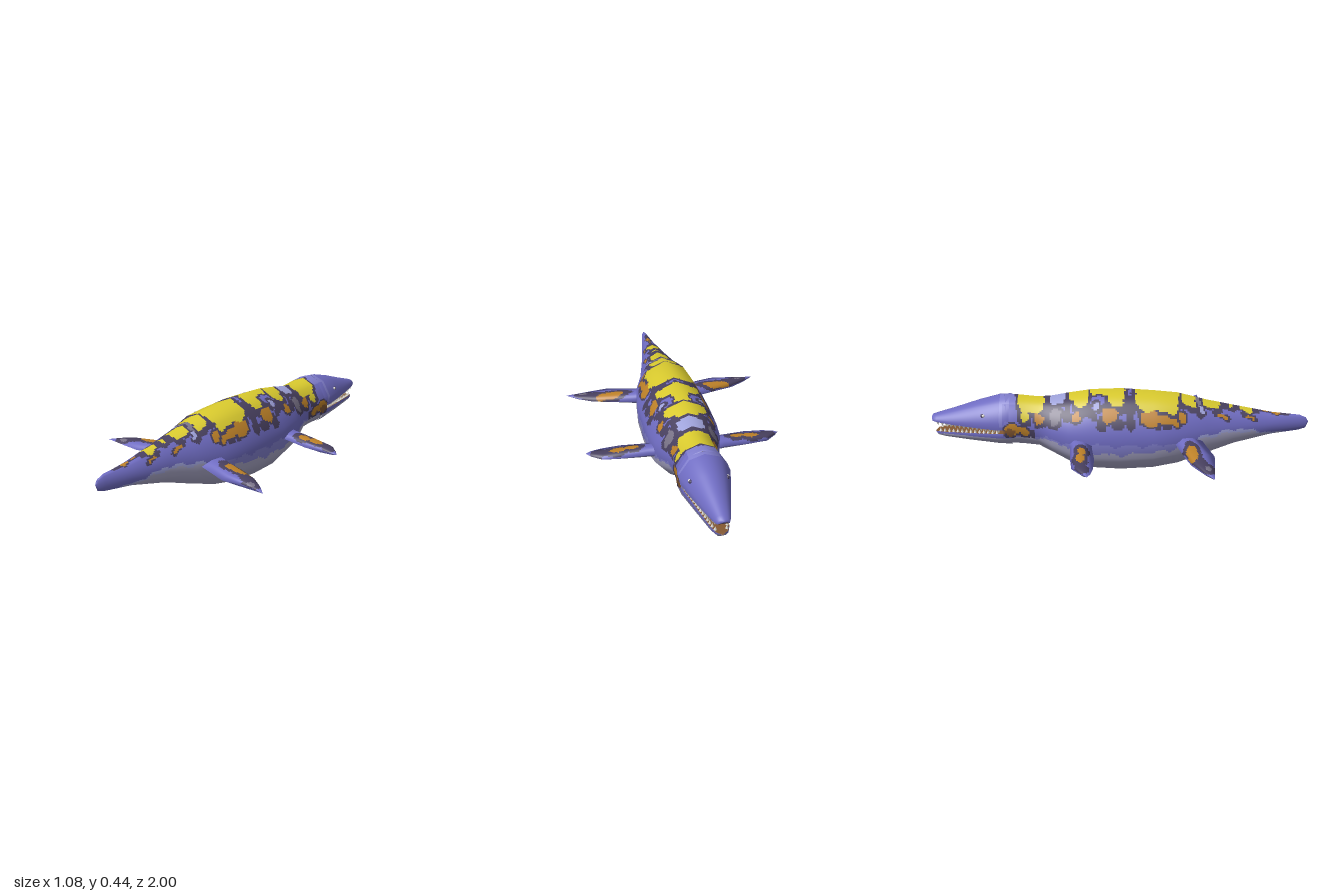
import * as THREE from 'three';

const COLORS = {
  skinBlue: 0x6f6cc2, stripeDark: 0x48405f, saddleYellow: 0xd9ca2e, patchOrange: 0xbd8128, bellyGrey: 0xa6a4c4,
  paleLavender: 0x9ea2da, fringeBlue: 0x807ecc, patchGrey: 0x787286, mouthBrown: 0x835832, toothWhite: 0xf2efe6,
};
const NAMES = Object.keys(COLORS);
const V = (x, y, z) => new THREE.Vector3(x, y, z);

// linear lookup in rows sorted by falling first entry
function lookup(rows, z, col) {
  if (z >= rows[0][0]) return rows[0][col];
  for (let i = 1; i < rows.length; i++) {
    const a = rows[i - 1], b = rows[i];
    if (z >= b[0]) return a[col] + (b[col] - a[col]) * (a[0] - z) / (a[0] - b[0]);
  }
  return rows[rows.length - 1][col];
}

// closed section from its +x half, starting and ending on the centre line
const mirrorHalf = (half) => half.concat(half.slice(1, -1).reverse().map(([x, y]) => [-x, y]));

// stations are [z, halfWidth, top, bottom]
const sections = (stations, half) => stations.map(([z, w, top, bot]) =>
  mirrorHalf(half).map(([x, t]) => V(x * w, bot + t * (top - bot), z)));

// skin over rings, split into small cells that each take one flat colour from the rule
function paintedLoft(name, rings, mats, rule, cell = 0.01) {
  const n = rings[0].length, index = [];
  for (let i = 0; i + 1 < rings.length; i++) for (let j = 0; j < n; j++) {
    const a = i * n + j, b = i * n + (j + 1) % n;
    index.push(a, b, a + n, b, b + n, a + n);
  }
  const pts = rings.flat(), buckets = {};
  const base = new THREE.BufferGeometry().setFromPoints(pts);
  base.setIndex(index);
  base.computeVertexNormals();
  const nor = pts.map((_, k) => new THREE.Vector3().fromBufferAttribute(base.attributes.normal, k));
  const mix = (list, q, u, v) => list[q[0]].clone().lerp(list[q[1]], u)
    .lerp(list[q[2]].clone().lerp(list[q[3]], u), v);
  for (let i = 0; i + 1 < rings.length; i++) for (let j = 0; j < n; j++) {
    const a = i * n + j, b = i * n + (j + 1) % n, q = [a, b, a + n, b + n];
    const wide = Math.max(pts[a].distanceTo(pts[b]), pts[a + n].distanceTo(pts[b + n]));
    if (wide < 1e-6) continue;
    const nu = Math.ceil(wide / cell);
    const nv = Math.ceil(Math.max(pts[a].distanceTo(pts[a + n]), pts[b].distanceTo(pts[b + n])) / cell);
    for (let r = 0; r < nu; r++) for (let s = 0; s < nv; s++) {
      const c = [(r + 0.5) / nu, (s + 0.5) / nv];
      const key = rule(mix(pts, q, ...c), mix(nor, q, ...c).normalize());
      const out = buckets[key] ??= { p: [], n: [] };
      for (const [du, dv] of [[0, 0], [1, 0], [0, 1], [1, 0], [1, 1], [0, 1]]) {
        const u = (r + du) / nu, v = (s + dv) / nv;
        out.p.push(...mix(pts, q, u, v).toArray());
        out.n.push(...mix(nor, q, u, v).normalize().toArray());
      }
    }
  }
  const geo = new THREE.BufferGeometry(), p = [], nn = [], used = [];
  for (const key of Object.keys(buckets)) {
    geo.addGroup(p.length / 3, buckets[key].p.length / 3, used.length);
    used.push(mats[key]);
    for (const x of buckets[key].p) p.push(x);
    for (const x of buckets[key].n) nn.push(x);
  }
  geo.setAttribute('position', new THREE.Float32BufferAttribute(p, 3));
  geo.setAttribute('normal', new THREE.Float32BufferAttribute(nn, 3));
  const mesh = new THREE.Mesh(geo, used);
  mesh.name = name;
  return mesh;
}

// body, tail to mouth corner
const BODY = [
  [1, 0, 0.25, 0.25], [0.985, 0.01, 0.275, 0.215], [0.95, 0.016, 0.29, 0.203], [0.8, 0.042, 0.307, 0.185],
  [0.6, 0.08, 0.348, 0.137], [0.45, 0.115, 0.38, 0.083], [0.3, 0.165, 0.42, 0.035], [0.17, 0.18, 0.433, 0.011],
  [0, 0.182, 0.445, 0.001], [-0.15, 0.18, 0.44, 0.011], [-0.27, 0.168, 0.422, 0.05], [-0.36, 0.135, 0.405, 0.098],
  [-0.43, 0.114, 0.4, 0.135], [-0.52, 0.115, 0.41, 0.146], [-0.6, 0.125, 0.415, 0.152], [-0.61, 0.12, 0.412, 0.155],
  [-0.612, 0, 0.25, 0.25],
];
const BODY_HALF = [[0, 1], [0.6, 0.89], [1, 0.59], [1, 0.27], [0.55, 0.05], [0, 0]];
const UPPER = [
  [-0.58, 0.123, 0.413, 0.255], [-0.64, 0.124, 0.41, 0.255], [-0.75, 0.098, 0.38, 0.258], [-0.88, 0.064, 0.336, 0.262],
  [-0.97, 0.04, 0.308, 0.27], [-0.993, 0.03, 0.3, 0.274], [-1, 0, 0.288, 0.288],
];
const UPPER_HALF = [[0, 1], [0.6, 0.84], [1, 0.35], [0.95, 0], [0.95, 0], [0, 0]];
const LOWER = [
  [-0.57, 0.118, 0.235, 0.152], [-0.64, 0.112, 0.23, 0.155], [-0.8, 0.075, 0.222, 0.168],
  [-0.93, 0.045, 0.216, 0.182], [-0.97, 0.03, 0.214, 0.19], [-0.985, 0, 0.205, 0.205],
];
const LOWER_HALF = [[0, 1], [0.95, 1], [0.95, 1], [1, 0.6], [0.6, 0.08], [0, 0]];
// upper edge of the belly: [z, height, depth of the pale fringe above it]
const BELLY = [[1, 0.15, 0], [0.85, 0.19, 0.01], [0.6, 0.23, 0.015], [0.45, 0.21, 0.015], [0.25, 0.165, 0.03],
  [0, 0.14, 0.05], [-0.15, 0.15, 0.05], [-0.3, 0.19, 0.01], [-0.45, 0.215, 0.01], [-1, 0.2, 0]];

// coat marks: [z, distance down from the spine, z radius, down radius]
const MARKS = {
  mouthBrown: [[-0.585, 0.285, 0.04, 0.012]],
  saddleYellow: [[-0.47, 0, 0.067, 0.155], [-0.205, 0, 0.032, 0.16], [-0.24, 0, 0.03, 0.08], [-0.02, 0, 0.045, 0.165],
    [-0.1, 0, 0.06, 0.065], [0.19, 0, 0.118, 0.195], [0.355, 0, 0.032, 0.105],
    [0.475, 0, 0.045, 0.08], [0.585, 0, 0.014, 0.04], [0.66, 0, 0.032, 0.045], [-0.5, 0.18, 0.02, 0.03]],
  patchOrange: [[0.15, 0.245, 0.045, 0.055], [0.24, 0.25, 0.05, 0.03], [0.32, 0.21, 0.02, 0.03], [-0.055, 0.235, 0.035, 0.055],
    [-0.23, 0.22, 0.025, 0.03], [-0.42, 0.2, 0.022, 0.04], [0.53, 0.12, 0.022, 0.014], [0.68, 0.08, 0.02, 0.01],
    [0.78, 0, 0.06, 0.01], [-0.545, 0.275, 0.065, 0.024]],
  paleLavender: [[-0.33, 0, 0.037, 0.1], [-0.125, 0.16, 0.018, 0.03], [0.42, 0.1, 0.012, 0.025]],
  patchGrey: [[-0.34, 0.2, 0.032, 0.055], [0.405, 0, 0.01, 0.08]],
  stripeDark: [[0.05, 0.2, 0.028, 0.13], [-0.01, 0.3, 0.03, 0.045], [-0.1, 0.28, 0.025, 0.06], [-0.15, 0.21, 0.02, 0.05],
    [-0.28, 0.1, 0.018, 0.15], [0.24, 0.29, 0.03, 0.03], [0.6, 0, 0.14, 0.05], [-0.38, 0.1, 0.018, 0.14]],
};
function coat(p) {
  const x = Math.abs(p.x);
  const wob = 0.009 * Math.sin(p.z * 47 + p.y * 31) + 0.006 * Math.sin(p.z * 83 - p.y * 67 + x * 40);
  const line = lookup(BELLY, p.z, 1) + wob * 0.7;
  if (p.y < line) return 'bellyGrey';
  const a = x + lookup(BODY, p.z, 2) - p.y;
  let dark = false;
  for (const [key, list] of Object.entries(MARKS)) for (const [z, d, rz, rd] of list) {
    const e = Math.hypot(((p.z - z + wob * 0.6) / rz) ** 2, ((a - d + wob) / rd) ** 2) ** 0.5;
    if (e < 1) return key;
    const rim = key === 'saddleYellow' && z < 0.4 ? 0.017 : key === 'stripeDark' ? 0 : 0.011;
    if ((e - 1) * Math.min(rz, rd) < rim) dark = true;
  }
  if (dark) return 'stripeDark';
  if (p.z < -0.545 && a < 0.1) return 'fringeBlue';
  if (p.y > line + lookup(BELLY, p.z, 2)) return 'skinBlue';
  return p.z > 0.35 ? 'paleLavender' : 'fringeBlue';
}

// flipper stations: [x, leading z, trailing z, half thickness]
const FRONT = [[0.1, -0.29, -0.15, 0.03], [0.2, -0.262, -0.15, 0.028], [0.33, -0.257, -0.135, 0.023],
  [0.43, -0.246, -0.14, 0.017], [0.485, -0.2, -0.152, 0.01], [0.51, -0.17, -0.168, 0.001]];
const REAR = [[0.1, 0.27, 0.42, 0.034], [0.18, 0.288, 0.44, 0.03], [0.3, 0.318, 0.474, 0.024],
  [0.4, 0.35, 0.466, 0.019], [0.48, 0.4, 0.457, 0.011], [0.54, 0.45, 0.452, 0.001]];
const FIN = [[0, 0], [0.25, 1], [0.6, 0.8], [1, 0], [0.6, -0.8], [0.25, -1]];

function flipper(name, rows, side, spots, mats) {
  const rings = rows.map(([x, l, t, h]) => FIN.map(([f, g]) => V(side * x, 0.2 - 0.03 * x + g * h, l + f * (t - l))));
  if (side < 0) rings.reverse();
  return paintedLoft(name, rings, mats, (p, n) => {
    if (n.y < -0.75) return 'bellyGrey';
    if (n.y < 0) return 'skinBlue';
    const wob = 0.1 * Math.sin(p.x * 60 * side + p.z * 40);
    let dark = false;
    for (const [x, z, rx, rz, key] of spots) {
      const e = Math.hypot((Math.abs(p.x) - x) / rx, (p.z - z) / rz) + wob;
      if (e < 1) return key;
      if ((e - 1) * Math.min(rx, rz) < 0.02) dark = true;
    }
    return dark ? 'stripeDark' : 'skinBlue';
  }, 0.009);
}

export function createModel() {
  const model = new THREE.Group();
  model.name = 'marineReptile';
  const mats = {};
  for (const k of NAMES) {
    mats[k] = new THREE.MeshStandardMaterial({ color: COLORS[k] });
    mats[k].name = k;
  }
  // body and jaws
  model.add(paintedLoft('body', sections(BODY, BODY_HALF), mats, (p) => (p.z < -0.61 ? 'mouthBrown' : coat(p))));
  model.add(paintedLoft('upperJaw', sections(UPPER, UPPER_HALF), mats,
    (p, n) => (n.y < -0.8 ? 'mouthBrown' : p.z > -0.63 ? coat(p) : 'skinBlue')));
  model.add(paintedLoft('lowerJaw', sections(LOWER, LOWER_HALF), mats,
    (p, n) => (n.y > 0.8 ? 'mouthBrown' : p.y > 0.206 ? 'skinBlue' : 'bellyGrey')));

  // flippers, teeth and eyes on both sides
  const teeth = new THREE.Group();
  teeth.name = 'teeth';
  model.add(teeth);
  for (const s of [1, -1]) {
    const tag = s > 0 ? 'left' : 'right';
    model.add(flipper(tag + 'FrontFlipper', FRONT, s, [[0.275, -0.2, 0.035, 0.022, 'patchOrange'],
      [0.355, -0.205, 0.04, 0.022, 'patchOrange'], [0.45, -0.195, 0.02, 0.02, 'stripeDark']], mats));
    model.add(flipper(tag + 'RearFlipper', REAR, s, [[0.305, 0.36, 0.075, 0.028, 'patchOrange'],
      [0.4, 0.39, 0.03, 0.02, 'stripeDark'], [0.45, 0.43, 0.022, 0.016, 'patchGrey']], mats));
    for (let i = 0; i < 15; i++) for (const [rows, col, dir] of [[UPPER, 3, -1], [LOWER, 2, 1]]) {
      const z = -0.635 - i * 0.0235 - (dir > 0 ? 0.0117 : 0);
      if (z < -0.972) continue;
      const tooth = new THREE.Mesh(new THREE.ConeGeometry(0.009, 0.021, 4), mats.toothWhite);
      tooth.position.set(s * (lookup(rows, z, 1) * 0.95 - 0.008), lookup(rows, z, col) + dir * 0.009, z);
      if (dir < 0) tooth.rotation.x = Math.PI;
      tooth.name = dir < 0 ? 'upperTooth' : 'lowerTooth';
      teeth.add(tooth);
    }
    const eye = new THREE.Mesh(new THREE.SphereGeometry(0.01, 12, 8), mats.stripeDark);
    eye.position.set(s * 0.088, 0.326, -0.72);
    eye.name = tag + 'Eye';
    const glint = new THREE.Mesh(new THREE.SphereGeometry(0.008, 8, 6), mats.toothWhite);
    glint.position.set(s * 0.004, 0.002, 0.006);
    glint.name = tag + 'EyeGlint';
    eye.add(glint);
    model.add(eye);
  }
  return model;
}
